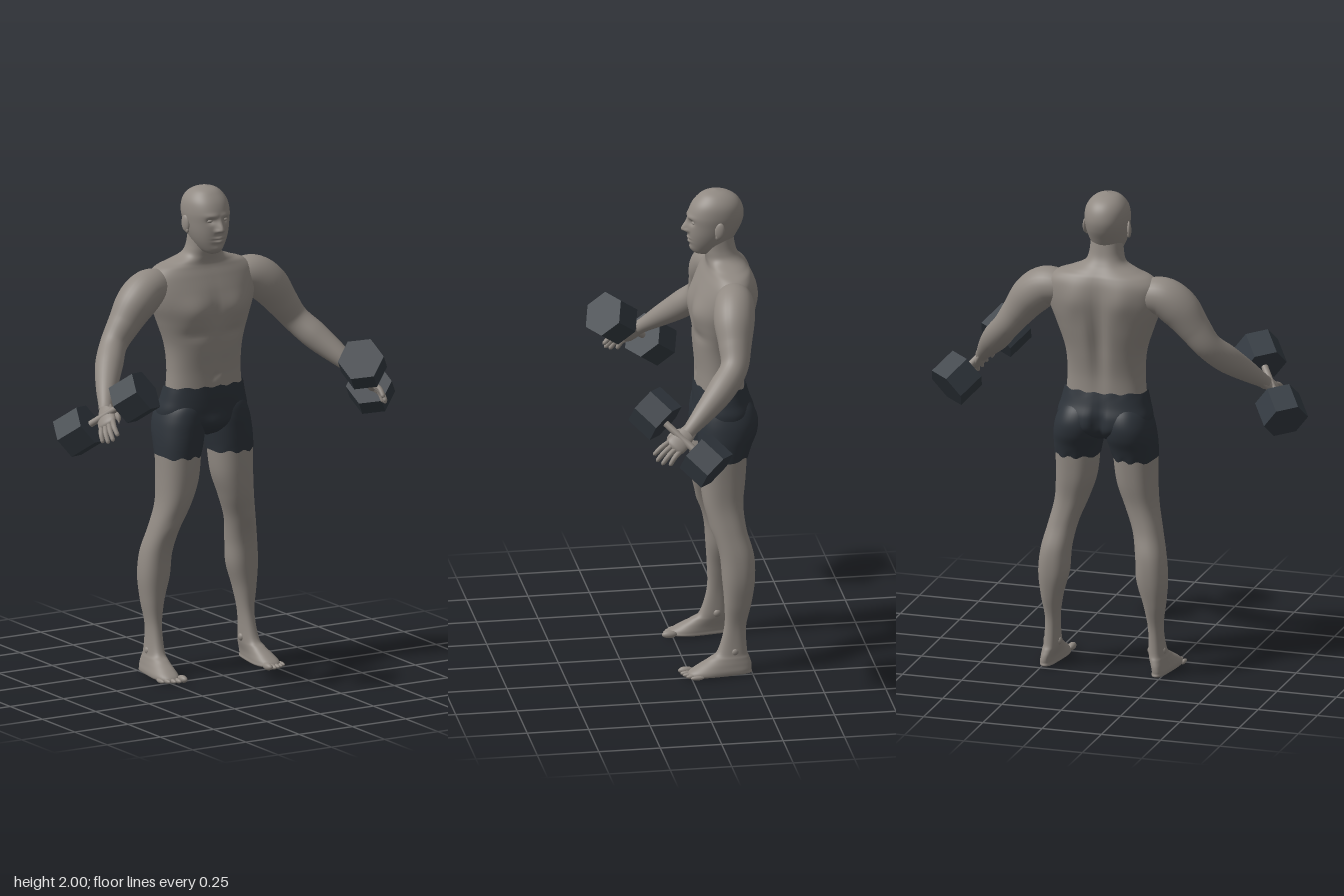
import * as THREE from 'three';
import { mergeVertices } from 'three/addons/utils/BufferGeometryUtils.js';

const V = (x, y, z) => new THREE.Vector3(x, y, z);
const bell = (v, c, w) => Math.exp(-(((v - c) / w) ** 2));
const ramp = THREE.MathUtils.smoothstep;

// Catmull-Rom blend of one column of a row table
function sample(rows, f, k) {
  const i = Math.min(Math.floor(f), rows.length - 2), t = f - i;
  const at = (n) => rows[Math.max(0, Math.min(rows.length - 1, n))][k];
  const [a, b, c, d] = [at(i - 1), at(i), at(i + 1), at(i + 2)];
  return b + 0.5 * t * (c - a + t * (2 * a - 5 * b + 4 * c - d + t * (3 * (b - c) + d - a)));
}

// Horizontal rings, bottom to top; row = [y, centre x, half width, z front, z back]
function loft(rows, { sides = 48, steps = 6, power = 1, shape } = {}) {
  const pos = [], index = [], n = (rows.length - 1) * steps;
  const bow = (v) => Math.sign(v) * Math.abs(v) ** power;
  for (let i = 0; i <= n; i++) {
    const [y, cx, rx, zf, zb] = [0, 1, 2, 3, 4].map((k) => sample(rows, i / steps, k));
    for (let j = 0; j < sides; j++) {
      const a = (j / sides) * Math.PI * 2;
      const p = V(cx + rx * bow(Math.cos(a)), y, (zf + zb) / 2 + ((zf - zb) / 2) * bow(Math.sin(a)));
      if (shape) shape(p, Math.max(0, Math.sin(a)), Math.max(0, -Math.sin(a)), cx);
      pos.push(p.x, p.y, p.z);
      if (i < n) {
        const q = i * sides + j, r = i * sides + ((j + 1) % sides);
        index.push(q, q + sides, r, r, q + sides, r + sides);
      }
    }
  }
  const g = new THREE.BufferGeometry();
  g.setAttribute('position', new THREE.Float32BufferAttribute(pos, 3));
  g.setIndex(index);
  g.computeVertexNormals();
  return g;
}

// Tapered limb through points [x, y, z, radius], optionally flattened along a normal
function limb(points, { steps = 40, sides = 20, normal, flat = 1 } = {}) {
  const curve = new THREE.CatmullRomCurve3(points.map((p) => V(p[0], p[1], p[2])));
  const g0 = new THREE.TubeGeometry(curve, steps, 1, sides);
  g0.deleteAttribute('uv');
  g0.deleteAttribute('normal');
  const at = g0.attributes.position;
  for (let i = 0; i <= steps; i++) {
    const c = curve.getPointAt(i / steps);
    const r = Math.max(0.0015, sample(points, curve.getUtoTmapping(i / steps) * (points.length - 1), 3));
    for (let j = 0; j <= sides; j++) {
      const k = i * (sides + 1) + j;
      const o = V().fromBufferAttribute(at, k).sub(c).multiplyScalar(r);
      if (normal) o.addScaledVector(normal, (flat - 1) * o.dot(normal));
      at.setXYZ(k, c.x + o.x, c.y + o.y, c.z + o.z);
    }
  }
  const g = mergeVertices(g0, 1e-5);
  g.computeVertexNormals();
  return g;
}

export function createModel() {
  const model = new THREE.Group();
  const material = (name, color) => Object.assign(new THREE.MeshStandardMaterial({ color }), { name });
  const skin = material('skin', 0x918a83);
  const cloth = material('shorts cloth', 0x2d333a);
  const iron = material('dumbbell iron', 0x343b42);
  const add = (name, geometry, mat, parent = model) => {
    const m = new THREE.Mesh(geometry, mat);
    m.name = name;
    parent.add(m);
    return m;
  };
  const blob = (name, x, y, z, rx, ry, rz, parent = model) => {
    const m = add(name, new THREE.SphereGeometry(1, 20, 14), skin, parent);
    m.position.set(x, y, z);
    m.scale.set(rx, ry, rz);
    return m;
  };

  // Torso and neck, with chest, belly line, spine groove and shoulder blades
  add('torso', loft([
    [1.16, 0, 0.166, -0.057, -0.25], [1.25, 0, 0.16, -0.057, -0.25], [1.35, 0, 0.168, -0.048, -0.265],
    [1.45, 0, 0.2, -0.044, -0.282], [1.52, 0, 0.226, -0.046, -0.29], [1.58, 0, 0.238, -0.06, -0.292],
    [1.635, 0, 0.235, -0.082, -0.286], [1.67, 0, 0.2, -0.098, -0.274], [1.69, 0, 0.145, -0.102, -0.26],
    [1.715, 0, 0.088, -0.098, -0.24], [1.75, 0, 0.07, -0.09, -0.222], [1.81, 0, 0.064, -0.085, -0.21],
  ], { sides: 80, steps: 8, power: 0.88, shape: (p, f, b) => {
    const ax = Math.abs(p.x), y = p.y;
    p.z += f * (0.016 * bell(ax, 0.1, 0.07) * bell(y, 1.5, 0.06) - 0.007 * bell(ax, 0.09, 0.06) * bell(y, 1.405, 0.022));
    p.z -= f * (0.006 * bell(ax, 0, 0.014) * bell(y, 1.36, 0.17) + 0.008 * bell(ax, 0, 0.01) * bell(y, 1.225, 0.012));
    p.z += b * 0.022 * bell(ax, 0, 0.032) * bell(y, 1.42, 0.2);
    p.z -= b * 0.012 * bell(ax, 0.1, 0.05) * bell(y, 1.58, 0.07);
  } }), skin);

  // Head, with nose, brow, eye sockets and lips pushed from the surface
  add('head', loft([
    [1.728, 0, 0.012, -0.075, -0.11], [1.738, 0, 0.034, -0.05, -0.15], [1.755, 0, 0.05, -0.04, -0.185],
    [1.785, 0, 0.066, -0.032, -0.205], [1.82, 0, 0.078, -0.027, -0.225], [1.86, 0, 0.086, -0.026, -0.245],
    [1.9, 0, 0.09, -0.027, -0.253], [1.94, 0, 0.085, -0.042, -0.244], [1.97, 0, 0.068, -0.066, -0.222],
    [1.99, 0, 0.042, -0.094, -0.186], [2, 0, 0.001, -0.138, -0.142],
  ], { sides: 120, steps: 9, power: 0.94, shape: (p, f) => {
    const ax = Math.abs(p.x), y = p.y;
    const nose = ramp(y, 1.822, 1.836) * (1 - ramp(y, 1.835, 1.895));
    p.z += f * (0.028 * bell(ax, 0, 0.011 + 0.005 * nose) * nose + 0.008 * bell(ax, 0.016, 0.007) * bell(y, 1.832, 0.008));
    p.z += f * (0.005 * bell(ax, 0.032, 0.025) * bell(y, 1.894, 0.01) - 0.013 * bell(ax, 0.034, 0.015) * bell(y, 1.874, 0.012));
    p.z += f * bell(ax, 0, 0.021) * (0.007 * bell(y, 1.802, 0.005) + 0.007 * bell(y, 1.787, 0.006) - 0.004 * bell(y, 1.795, 0.003));
    p.z += f * 0.006 * bell(ax, 0, 0.024) * bell(y, 1.756, 0.013);
  } }), skin);

  // Shorts: seat part with cleft
  add('shortsSeat', loft([
    [0.972, 0, 0.012, -0.12, -0.2], [0.99, 0, 0.09, -0.085, -0.245], [1.03, 0, 0.18, -0.055, -0.288],
    [1.08, 0, 0.196, -0.05, -0.29], [1.13, 0, 0.184, -0.05, -0.272], [1.185, 0, 0.171, -0.053, -0.256],
  ], { sides: 72, power: 0.88, shape: (p, f, b) => {
    p.z += b * 0.035 * bell(p.x, 0, 0.022) * bell(p.y, 1.04, 0.07);
    p.z += f * 0.012 * bell(p.x, 0, 0.04) * bell(p.y, 1.03, 0.04);
    p.y += 0.004 * ramp(p.y, 1.16, 1.185) * Math.sin(p.x * 90);
  } }), cloth);

  for (const s of [1, -1]) {
    const side = s > 0 ? 'left' : 'right';
    const mirrored = (rows) => rows.map(([y, x, ...rest]) => [y, x * s, ...rest]);
    const flip = (pts) => pts.map(([x, ...rest]) => [x * s, ...rest]);

    add(side + 'ShortsLeg', loft(mirrored([
      [0.9, 0.122, 0.092, -0.052, -0.25], [0.95, 0.116, 0.098, -0.05, -0.268], [1, 0.109, 0.102, -0.05, -0.289],
      [1.05, 0.102, 0.1, -0.052, -0.294], [1.1, 0.095, 0.087, -0.062, -0.276], [1.14, 0.09, 0.06, -0.09, -0.24],
    ]), { power: 0.94, shape: (p) => {
      p.y += 0.006 * (1 - ramp(p.y, 0.9, 0.93)) * Math.sin(p.x * 110);
    } }), cloth);

    // Leg with foot; the sole widens toward the toes
    add(side + 'Leg', loft(mirrored([
      [0, 0.232, 0.001, -0.12, -0.122], [0.004, 0.234, 0.045, 0, -0.238], [0.02, 0.236, 0.05, 0.008, -0.247],
      [0.045, 0.232, 0.045, -0.03, -0.247], [0.07, 0.226, 0.038, -0.075, -0.24], [0.1, 0.221, 0.032, -0.112, -0.231],
      [0.2, 0.217, 0.029, -0.14, -0.228], [0.3, 0.216, 0.044, -0.14, -0.25], [0.4, 0.207, 0.062, -0.133, -0.265],
      [0.5, 0.199, 0.061, -0.124, -0.262], [0.6, 0.178, 0.059, -0.098, -0.236], [0.7, 0.148, 0.067, -0.068, -0.227],
      [0.8, 0.128, 0.081, -0.057, -0.238], [0.92, 0.121, 0.088, -0.055, -0.247],
    ]), { power: 0.86, shape: (p, f, b, cx) => {
      const foot = 1 - ramp(p.y, 0.03, 0.1);
      p.x = cx + (p.x - cx) * (1 + foot * (-0.3 + 0.45 * ramp(p.z, -0.2, 0)));
      p.z += f * 0.006 * bell(p.y, 0.61, 0.035) * bell(p.x, cx, 0.03);
      p.y = Math.max(0, p.y);
    } }), skin);
    for (let i = 0; i < 5; i++) {
      const r = i ? 0.0105 - i * 0.0004 : 0.015;
      blob(side + 'Toe', s * (0.2 + i * 0.02 + (i ? 0.003 : 0)), r, 0.015 - 0.0022 * i * i, r, r, i ? 0.028 : 0.031);
    }
    for (const x of [0.193, 0.246]) blob(side + 'AnkleBone', s * x, 0.098, -0.178, 0.012, 0.016, 0.016);

    // Ear and eye
    blob(side + 'Ear', s * 0.091, 1.852, -0.142, 0.009, 0.034, 0.02).rotation.set(-0.15, s * -0.3, 0);
    blob(side + 'Earlobe', s * 0.088, 1.825, -0.134, 0.007, 0.012, 0.01);
    blob(side + 'Eye', s * 0.034, 1.873, -0.049, 0.014, 0.0075, 0.012);

    // Arm from inside the chest to the wrist
    add(side + 'Arm', limb(flip([
      [0.13, 1.59, -0.185, 0.05], [0.19, 1.597, -0.183, 0.07], [0.25, 1.59, -0.175, 0.081], [0.31, 1.545, -0.165, 0.082],
      [0.37, 1.468, -0.158, 0.067], [0.425, 1.395, -0.146, 0.056], [0.485, 1.325, -0.085, 0.056],
      [0.545, 1.255, -0.005, 0.043], [0.585, 1.205, 0.055, 0.03], [0.598, 1.188, 0.075, 0.028],
    ]), { steps: 60, sides: 28 }), skin);

    // Hand, spread along the dumbbell's axis
    const hand = new THREE.Group();
    hand.name = side + 'Hand';
    model.add(hand);
    const w = V(-0.48, 0.55, 0.685).normalize();
    const along = V(0.055, -0.11, 0.135).normalize();
    const n = V().crossVectors(w, along).normalize();
    n.x *= s;
    add('palm', limb(flip([
      [0.586, 1.205, 0.054, 0.029], [0.6, 1.183, 0.08, 0.036], [0.614, 1.16, 0.108, 0.043],
      [0.624, 1.142, 0.132, 0.039], [0.63, 1.13, 0.146, 0.004],
    ]), { normal: n, flat: 0.45 }), skin, hand);
    [-1.5, -0.5, 0.5, 1.5].forEach((k, i) => {
      const base = V(0.62, 1.148, 0.124).addScaledVector(w, 0.019 * k);
      const tip = V(0.645, 1.088, 0.195).addScaledVector(w, 0.026 * k).addScaledVector(along, [-0.018, 0, 0.004, -0.008][i]);
      const mid = base.clone().lerp(tip, 0.5).add(V(0.008, 0.006, 0.004));
      const end = tip.clone().lerp(mid, 0.12);
      add('finger', limb(flip([[...base, 0.011], [...mid, 0.0105], [...end, 0.008], [...tip, 0.001]]),
        { steps: 18, sides: 10 }), skin, hand);
    });
    add('thumb', limb(flip([[0.59, 1.195, 0.078, 0.014], [0.578, 1.188, 0.113, 0.014],
      [0.578, 1.168, 0.142, 0.011], [0.583, 1.15, 0.156, 0.001]]), { steps: 18, sides: 10 }), skin, hand);

    // Hexagonal dumbbell
    const bell6 = new THREE.Group();
    bell6.name = side + 'Dumbbell';
    bell6.position.set(s * 0.61, 1.18, 0.103);
    bell6.quaternion.setFromUnitVectors(V(0, 1, 0), V(-0.15 * s, 0.16, 0.185).normalize());
    model.add(bell6);
    const hex = new THREE.CylinderGeometry(0.093, 0.093, 0.12, 6).toNonIndexed();
    hex.computeVertexNormals();
    for (const e of [1, -1]) add('weight', hex, iron, bell6).position.y = e * 0.143;
    add('handle', new THREE.CylinderGeometry(0.014, 0.014, 0.2, 16), skin, bell6);
  }
  return model;
}
